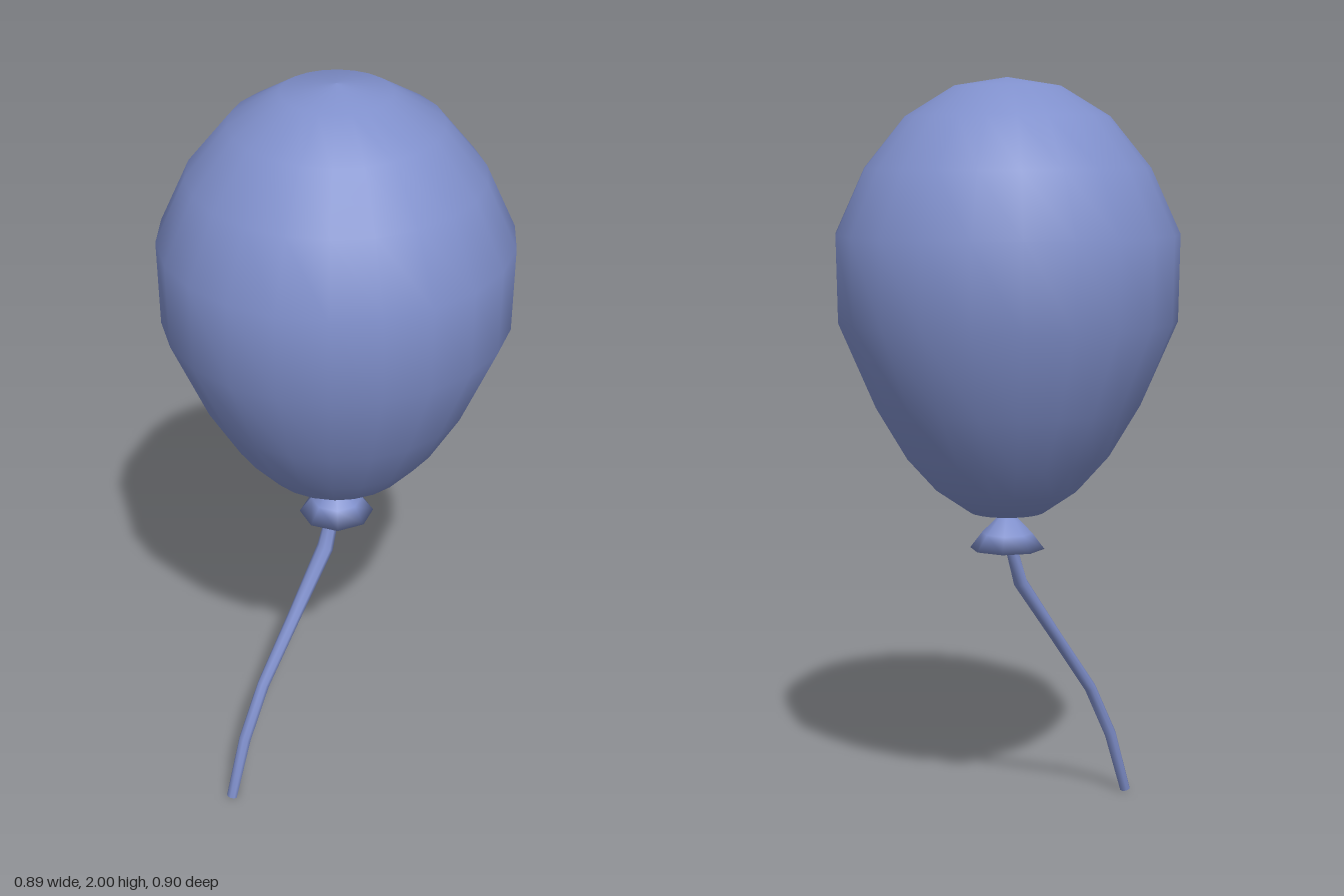
import * as THREE from 'three';

const material = new THREE.MeshStandardMaterial({ color: 0x8090cc, side: THREE.DoubleSide });

// Surface of revolution from [radius, y] pairs listed bottom to top
function lathe(name, profile, sides) {
  const points = profile.map(([r, y]) => new THREE.Vector2(r, y));
  const mesh = new THREE.Mesh(new THREE.LatheGeometry(points, sides), material);
  mesh.name = name;
  return mesh;
}

// Rope through stations [x, y, half width, half depth], bending in the xy plane
function rope(name, stations, sides) {
  const positions = [], index = [];
  const n = stations.length;
  stations.forEach(([x, y, w, d], i) => {
    const a = stations[Math.max(i - 1, 0)], b = stations[Math.min(i + 1, n - 1)];
    const along = new THREE.Vector2(b[0] - a[0], b[1] - a[1]).normalize();
    for (let j = 0; j < sides; j++) {
      const t = ((j + 0.5) / sides) * Math.PI * 2;
      const c = Math.cos(t) * w;
      positions.push(x - along.y * c, y + along.x * c, Math.sin(t) * d);
      if (i === n - 1) continue;
      const p = i * sides + j, q = i * sides + ((j + 1) % sides);
      index.push(p, p + sides, q, q, p + sides, q + sides);
    }
  });
  // End caps
  for (let j = 1; j < sides - 1; j++) {
    const e = (n - 1) * sides;
    index.push(0, j, j + 1, e, e + j + 1, e + j);
  }
  const geometry = new THREE.BufferGeometry();
  geometry.setAttribute('position', new THREE.Float32BufferAttribute(positions, 3));
  geometry.setIndex(index);
  geometry.computeVertexNormals();
  const mesh = new THREE.Mesh(geometry, material);
  mesh.name = name;
  return mesh;
}

export function createModel() {
  const group = new THREE.Group();
  group.name = 'balloon';

  // Inflated body
  group.add(lathe('body', [
    [0, 0.845], [0.1, 0.86], [0.192, 0.923], [0.27, 1.01], [0.352, 1.148], [0.448, 1.37],
    [0.452, 1.597], [0.374, 1.768], [0.267, 1.9], [0.139, 1.978], [0, 2],
  ], 22));

  // Flared knot under the body
  group.add(lathe('knot', [[0, 0.775], [0.1, 0.76], [0.068, 0.802], [0.028, 0.843], [0, 0.855]], 8));

  // Trailing string
  group.add(rope('string', [
    [0, 0.8, 0.015, 0.019],
    [-0.015, 0.755, 0.015, 0.02],
    [-0.045, 0.66, 0.017, 0.025],
    [-0.17, 0.492, 0.015, 0.02],
    [-0.294, 0.326, 0.016, 0.017],
    [-0.37, 0.178, 0.016, 0.017],
    [-0.427, 0.005, 0.014, 0.015],
  ], 8));

  return group;
}
